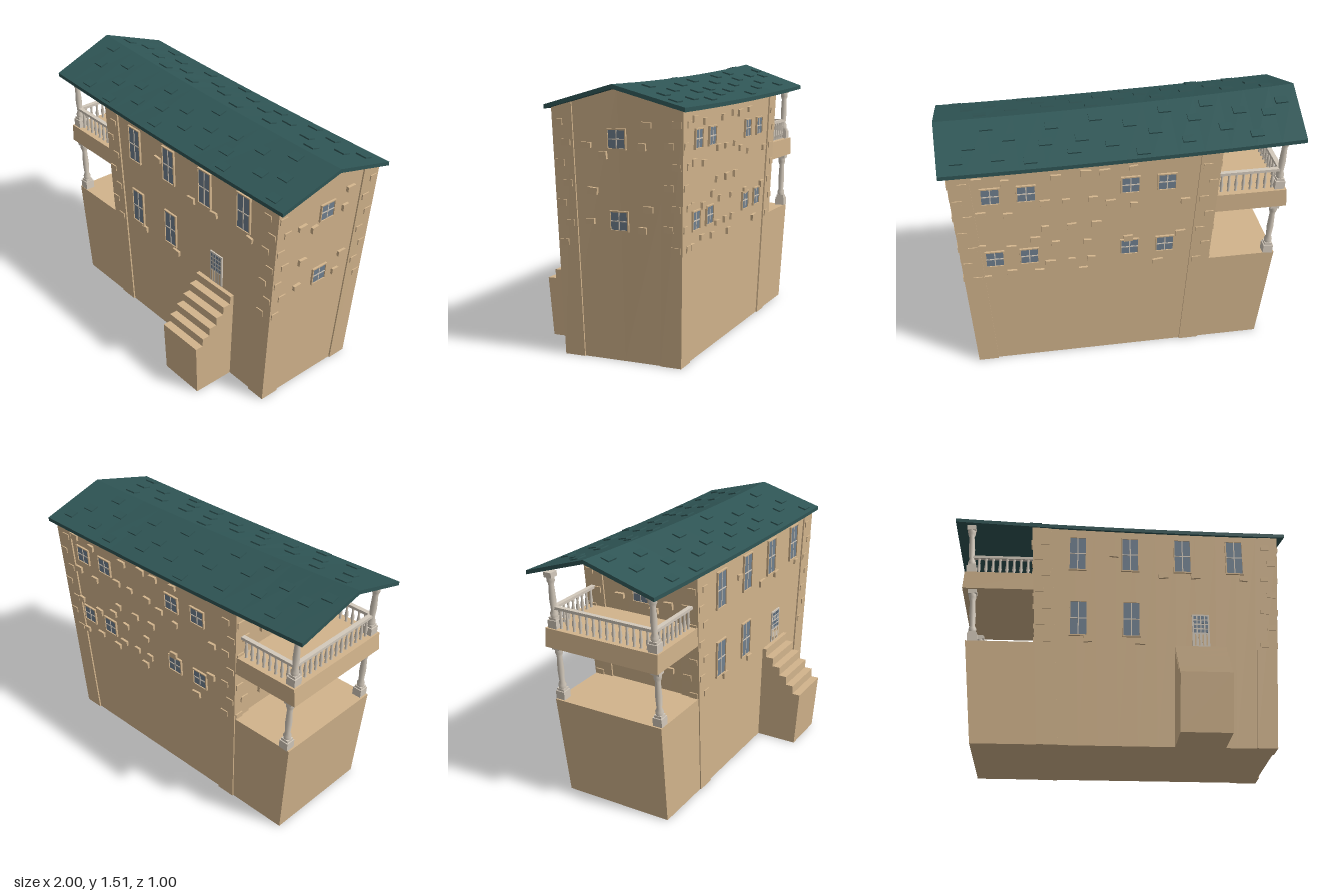
import * as THREE from 'three';

const mat = (name, color) => {
  const m = new THREE.MeshStandardMaterial({ color });
  m.name = name;
  return m;
};
const lerp = THREE.MathUtils.lerp;

// Outer wall planes lean outwards with height
const LEAN = { front: 0.015, back: 0.034, right: 0.06, left: 0.052 };
const zF = y => 0.24 + LEAN.front * y;
const zB = y => -0.43 - LEAN.back * y;
const xR = y => 0.87 + LEAN.right * y;
const xL = y => -0.45 - LEAN.left * y;

// Top surface of the sagging roof
const roofY = (x, z) => {
  const s = ((1 - x) / 2) ** 2;
  const r = 1 - Math.abs(z + 0.11) / 0.39;
  return lerp(1.338 + 0.045 * s, 1.445 + 0.07 * s, r);
};

// Reshapes a unit box by a rule and gives it flat faces
function warp(nx, nz, rule) {
  const g = new THREE.BoxGeometry(1, 1, 1, nx, 1, nz).toNonIndexed();
  const p = g.attributes.position;
  for (let i = 0; i < p.count; i++) {
    p.setXYZ(i, ...rule(p.getX(i) + 0.5, p.getY(i) + 0.5, p.getZ(i) + 0.5));
  }
  g.computeVertexNormals();
  return g;
}

export function createModel() {
  const model = new THREE.Group();
  const stone = mat('tan stone', 0xd2b48c);
  const slate = mat('dark green roof', 0x2f5555);
  const glass = mat('grey blue glass', 0x708090);
  const trim = mat('pale trim', 0xd3c9bb);

  const add = (parent, name, geo, m, x = 0, y = 0, z = 0) => {
    const mesh = new THREE.Mesh(geo, m);
    mesh.name = name;
    mesh.position.set(x, y, z);
    parent.add(mesh);
    return mesh;
  };
  const box = (parent, name, m, w, h, d, x, y, z) =>
    add(parent, name, new THREE.BoxGeometry(w, h, d), m, x, y, z);
  let seed = 7;
  const rand = () => (seed = (seed * 16807) % 2147483647) / 2147483647;

  // House walls with gables following the roof
  const IN = 0.009;
  add(model, 'houseWalls', warp(12, 2, (u, v, w) => {
    const t = v * 1.34;
    const x = lerp(xL(t) + IN, xR(t) - IN, u);
    const z = w === 0.5 ? -0.11 : w < 0.5 ? zB(t) + IN : zF(t) - IN;
    return [x, v ? roofY(x, z) - 0.012 : 0, z];
  }), stone);

  // Corner pilasters
  for (const sx of [-1, 1]) for (const sz of [-1, 1]) {
    add(model, 'cornerPilaster', warp(1, 1, (u, v, w) => {
      const t = v * 1.34;
      const x = sx > 0 ? xR(t) - 0.115 * (1 - u) : xL(t) + 0.115 * u;
      const z = sz > 0 ? zF(t) - 0.115 * (1 - w) : zB(t) + 0.115 * w;
      return [x, v ? roofY(x, z) - 0.012 : 0, z];
    }), stone);
  }

  // Roof slab
  add(model, 'roof', warp(14, 2, (u, v, w) => {
    const mid = w === 0.5 ? 1 : 0;
    const x = lerp(-0.97 - 0.03 * mid, 0.99 + 0.01 * mid, u);
    const z = lerp(-0.5, 0.28, w);
    return [x, roofY(x, z) - (v ? 0 : 0.022), z];
  }), slate);

  // Raised roof tiles
  const tileGeo = new THREE.BoxGeometry(0.07, 0.01, 0.05);
  for (const s of [-1, 1]) for (let i = 0; i < 24; i++) {
    const x = -0.9 + (i + rand() * 0.6) * 0.077;
    const z = -0.11 + s * (0.05 + 0.3 * ((i * 0.382 + rand() * 0.2) % 1));
    const tile = add(model, 'roofTile', tileGeo, slate, x, roofY(x, z) + 0.003, z);
    tile.rotation.set(s * 0.275, 0, -0.02);
  }

  // Empty group lying flush on a wall, with +z pointing outwards
  function onWall(side, name, a, y) {
    const g = new THREE.Group();
    g.name = name;
    g.rotation.order = 'YXZ';
    g.rotation.x = LEAN[side];
    g.rotation.y = { front: 0, back: Math.PI, right: Math.PI / 2, left: -Math.PI / 2 }[side];
    if (side === 'front') g.position.set(a, y, zF(y) - IN);
    if (side === 'back') g.position.set(a, y, zB(y) + IN);
    if (side === 'right') g.position.set(xR(y) - IN, y, a);
    if (side === 'left') g.position.set(xL(y) + IN, y, a);
    model.add(g);
    return g;
  }

  // Windows: pane, surround, and glazing bars
  function windowAt(side, a, y, w, h) {
    const g = onWall(side, 'window', a, y);
    box(g, 'pane', glass, w, h, 0.006, 0, 0, 0.003);
    for (const s of [-1, 1]) {
      box(g, 'frameSide', stone, 0.007, h, 0.012, s * w / 2, 0, 0.006);
      box(g, 'frameRail', stone, w + 0.007, 0.007, 0.012, 0, s * h / 2, 0.006);
    }
    box(g, 'verticalBar', trim, 0.006, h, 0.009, 0, 0, 0.0045);
    box(g, 'crossBar', trim, w, 0.006, 0.009, 0, 0, 0.0045);
  }
  const backX = [0.73, 0.54, -0.02, -0.22];
  for (const x of [-0.245, 0.065, 0.375, 0.685]) windowAt('front', x, 1.18, 0.1, 0.215);
  for (const x of [-0.235, 0.07]) windowAt('front', x, 0.76, 0.1, 0.215);
  for (const y of [0.75, 1.17]) {
    for (const x of backX) windowAt('back', x, y, 0.1, 0.1);
    for (const side of ['left', 'right']) windowAt(side, -0.105, y, 0.1, 0.1);
  }

  // Door with a glazed upper half and slatted lower half
  const door = onWall('front', 'door', 0.47, 0.7);
  box(door, 'doorLeaf', trim, 0.1, 0.2, 0.008, 0, 0, 0.004);
  for (let i = 0; i < 4; i++) {
    const x = -0.033 + i * 0.022;
    for (let j = 0; j < 4; j++) box(door, 'doorPane', glass, 0.015, 0.02, 0.003, x, 0.08 - j * 0.028, 0.008);
    box(door, 'doorSlat', stone, 0.008, 0.07, 0.003, x, -0.06, 0.008);
  }

  // Protruding wall stones
  const stoneGeo = new THREE.BoxGeometry(0.047, 0.034, 0.02);
  const stoneAt = (side, a, y) => {
    const m = add(onWall(side, 'wallStone', a, y), 'stoneBlock', stoneGeo, stone, 0, 0, 0.004);
    m.rotation.z = (rand() - 0.5) * 0.2;
    m.scale.set(0.85 + rand() * 0.4, 0.85 + rand() * 0.3, 1);
  };
  for (const [x, y] of [[0.26, 1.05], [0.45, 1.05], [0.735, 1.04], [-0.03, 1.18], [-0.18, 0.63], [0.12, 0.62]]) stoneAt('front', x, y);
  for (const side of ['right', 'left']) {
    for (const [z, y] of [[-0.27, 1.245], [-0.245, 1.135], [0.07, 1.135], [-0.025, 1.085], [-0.27, 0.82],
      [-0.235, 0.71], [0.04, 0.9], [0.06, 0.74]]) stoneAt(side, z, y);
  }
  for (const y of [0.63, 0.83, 1.04, 1.25]) {
    for (let i = 0; i < 9; i++) {
      if (rand() < 0.7) stoneAt('back', -0.33 + i * 0.135 + rand() * 0.05, y + rand() * 0.05 - 0.02);
    }
  }
  for (const y of [0.69, 0.93, 1.1]) for (const x of [0.42, 0.3, 0.16]) stoneAt('back', x + rand() * 0.04, y);

  // Corner stones on the pilasters
  const quoinGeo = new THREE.BoxGeometry(0.05, 0.034, 0.014);
  for (let i = 0; i < 7; i++) {
    const y = 0.62 + i * 0.105;
    const d = i % 2 ? 0.035 : 0.075;
    for (const side of ['front', 'back']) for (const x of [xL(y) + d, xR(y) - d]) {
      add(onWall(side, 'cornerStone', x, y), 'stoneBlock', quoinGeo, stone, 0, 0, 0.008);
    }
    for (const side of ['left', 'right']) for (const z of [zB(y) + 0.11 - d, zF(y) - 0.11 + d]) {
      add(onWall(side, 'cornerStone', z, y), 'stoneBlock', quoinGeo, stone, 0, 0, 0.008);
    }
  }

  // Entrance stairs: stepped outline pushed across x and flared with height
  const outline = new THREE.Shape();
  outline.moveTo(0.2, 0);
  outline.lineTo(0.48, 0);
  for (let i = 0; i < 6; i++) {
    const y = 0.335 + i * 0.0515;
    outline.lineTo(0.502 - i * 0.0475, y);
    outline.lineTo(0.502 - Math.min(i + 1, 5.3) * 0.0475, y);
  }
  outline.lineTo(0.2, 0.5925);
  const stairs = new THREE.ExtrudeGeometry(outline, { depth: 1, bevelEnabled: false });
  const sp = stairs.attributes.position;
  for (let i = 0; i < sp.count; i++) {
    const y = sp.getY(i);
    sp.setXYZ(i, lerp(0.585, 0.305, sp.getZ(i)) * (1 + 0.08 * y), y, sp.getX(i));
  }
  stairs.computeVertexNormals();
  add(model, 'stairs', stairs, stone);

  // Porch base and balcony floor
  add(model, 'porchBase', warp(1, 1, (u, v, w) => {
    const y = v * 0.605;
    return [lerp(-0.81 - 0.1 * y, -0.42, u), y, lerp(zB(y) + 0.008, zF(y) - 0.006, w)];
  }), stone);
  add(model, 'balconyFloor', warp(1, 1, (u, v, w) =>
    [lerp(-0.9 - 0.008 * (1 - v), -0.45, u), lerp(0.935, 1.042, v), lerp(-0.458, 0.25, w)]), stone);

  // Turned porch posts with square base and capital
  const shaft = h => new THREE.LatheGeometry([[0.02, 0], [0.023, 0.1], [0.015, 0.18], [0.019, 0.45], [0.015, 0.82], [0.022, 0.9], [0.022, 1]]
    .map(([r, t]) => new THREE.Vector2(r, t * h)), 12);
  for (const z of [0.213, -0.418]) {
    for (const [x, y, h] of [[-0.832, 0.605, 0.335], [-0.862, 1.04, 0.325]]) {
      const post = new THREE.Group();
      post.name = 'porchPost';
      post.position.set(x, y, z);
      post.rotation.z = 0.055;
      box(post, 'postBase', trim, 0.056, 0.05, 0.056, 0, 0.025, 0);
      box(post, 'postCollar', trim, 0.044, 0.014, 0.044, 0, 0.057, 0);
      add(post, 'postShaft', shaft(h - 0.09), trim, 0, 0.06, 0);
      box(post, 'postCapital', trim, 0.05, 0.03, 0.05, 0, h - 0.015, 0);
      model.add(post);
    }
  }

  // Balcony railing on three sides
  const baluster = new THREE.LatheGeometry([[0.009, 0], [0.006, 0.02], [0.011, 0.04], [0.006, 0.08], [0.009, 0.11]]
    .map(([r, y]) => new THREE.Vector2(r, y)), 8);
  function railing(x0, z0, x1, z1) {
    const g = new THREE.Group();
    g.name = 'railing';
    const len = Math.hypot(x1 - x0, z1 - z0);
    g.position.set(x0, 1.04, z0);
    g.rotation.y = Math.atan2(z0 - z1, x1 - x0);
    box(g, 'handrail', trim, len, 0.016, 0.026, len / 2, 0.116, 0);
    const n = Math.round(len / 0.042);
    for (let i = 1; i < n; i++) add(g, 'baluster', baluster, trim, len * i / n, 0, 0);
    model.add(g);
  }
  railing(-0.865, 0.213, -0.495, 0.213);
  railing(-0.865, -0.418, -0.495, -0.418);
  railing(-0.865, 0.213, -0.865, -0.418);

  return model;
}
